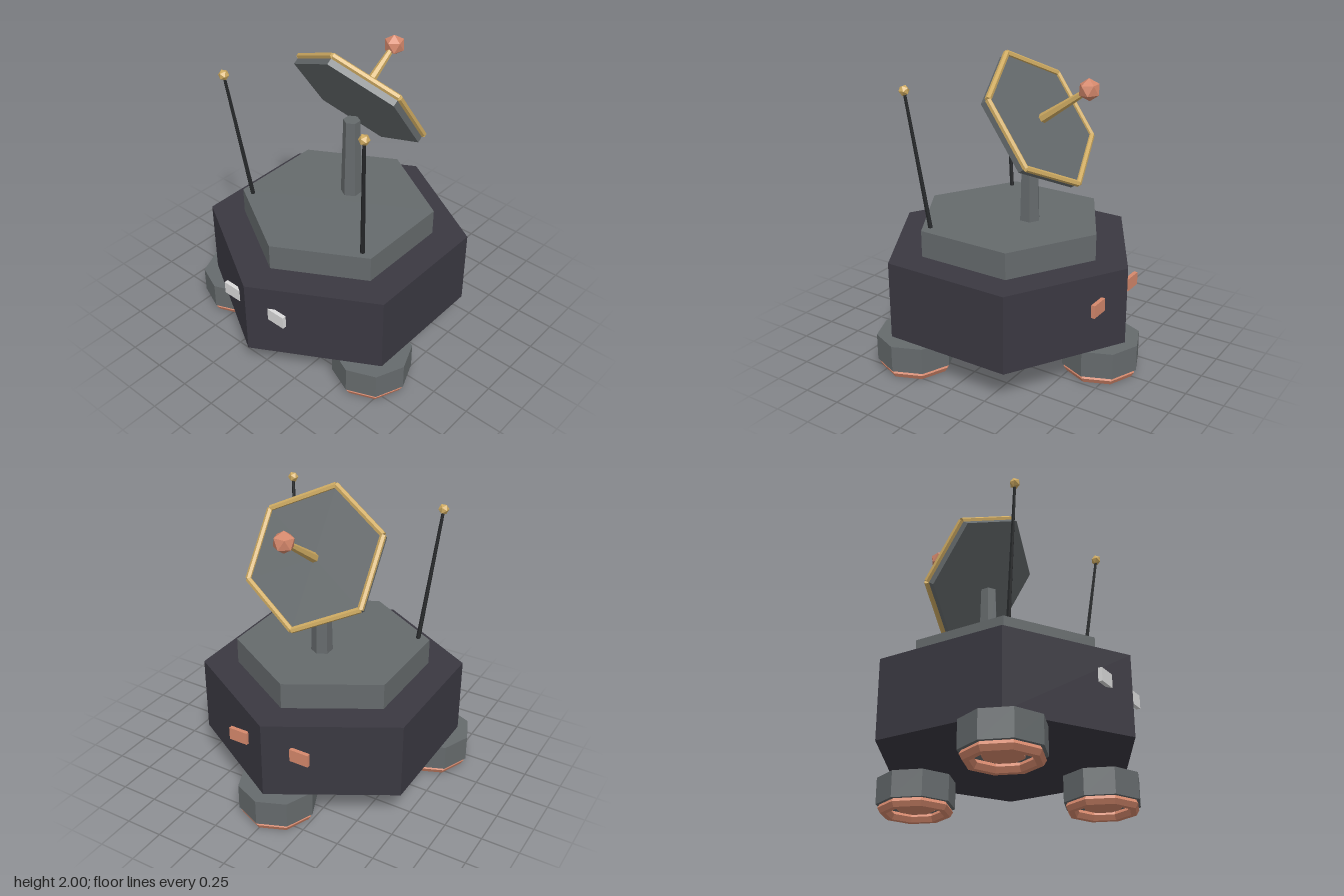
import * as THREE from 'three';

const mat = (name, color) => new THREE.MeshStandardMaterial({ name, color, flatShading: true });

export function createModel() {
  const hullDark = mat('dark hull', 0x3a3841);
  const grey = mat('grey metal', 0x656a6c);
  const copper = mat('copper', 0xd5886c);
  const gold = mat('gold', 0xcfab62);
  const black = mat('black rod', 0x26282a);
  const white = mat('white lamp', 0xdadada);

  const model = new THREE.Group();
  model.name = 'hexagonalRover';

  const add = (parent, name, geometry, material, x = 0, y = 0, z = 0) => {
    const mesh = new THREE.Mesh(geometry, material);
    mesh.name = name;
    mesh.position.set(x, y, z);
    parent.add(mesh);
    return mesh;
  };
  // Prism or tapered prism standing between two heights
  const prism = (parent, name, rTop, rBottom, y0, y1, sides, material, x = 0, z = 0) =>
    add(parent, name, new THREE.CylinderGeometry(rTop, rBottom, y1 - y0, sides), material, x, (y0 + y1) / 2, z);
  // Tapered rod between two points
  const rod = (parent, name, a, b, rA, rB, sides, material) => {
    const d = b.clone().sub(a);
    const mesh = add(parent, name, new THREE.CylinderGeometry(rB, rA, d.length(), sides), material);
    mesh.position.copy(a).addScaledVector(d, 0.5);
    mesh.quaternion.setFromUnitVectors(new THREE.Vector3(0, 1, 0), d.normalize());
    return mesh;
  };

  // Hull, upper deck and mast
  const cz = 0.043;
  prism(model, 'hull', 0.861, 0.861, 0.23, 0.745, 6, hullDark, 0, cz);
  prism(model, 'upperDeck', 0.633, 0.633, 0.745, 0.92, 6, grey, 0, cz);
  prism(model, 'mast', 0.055, 0.07, 0.92, 1.465, 6, grey, 0, -0.1);

  // Three octagonal feet with a copper ring and hub below
  for (const degrees of [30, 150, 270]) {
    const a = THREE.MathUtils.degToRad(degrees);
    const foot = new THREE.Group();
    foot.name = 'foot';
    foot.position.set(0.69 * Math.cos(a), 0, cz + 0.69 * Math.sin(a));
    prism(foot, 'footPod', 0.257, 0.257, 0.055, 0.23, 8, grey);
    const ring = new THREE.TorusGeometry(0.207, 0.038, 6, 8).rotateX(Math.PI / 2);
    add(foot, 'footRing', ring, copper, 0, 0.033, 0);
    prism(foot, 'footHub', 0.125, 0.125, 0.035, 0.06, 8, copper);
    model.add(foot);
  }

  // Lamps, and antennas leaning outwards and forwards
  for (const s of [-1, 1]) {
    const lamp = new THREE.BoxGeometry(0.13, 0.085, 0.026);
    add(model, 'headlamp', lamp, white, s * 0.19, 0.547, 0.823);
    add(model, 'tailLamp', lamp, copper, s * 0.223, 0.547, -0.735);

    const tip = new THREE.Vector3(s * 0.552, 1.812, 0.446);
    rod(model, 'antenna', new THREE.Vector3(s * 0.47, 0.915, 0.345), tip, 0.015, 0.01, 6, black);
    add(model, 'antennaTip', new THREE.IcosahedronGeometry(0.035, 0), gold, tip.x, tip.y, tip.z);
  }

  // Tilted dish facing up and backwards
  const dish = new THREE.Group();
  dish.name = 'dish';
  dish.position.set(0, 1.588, -0.163);
  dish.rotation.x = THREE.MathUtils.degToRad(-55);
  model.add(dish);
  prism(dish, 'dishPlate', 0.46, 0.46, -0.03, 0.03, 6, grey);
  const corner = (i) => new THREE.Vector3(
    0.46 * Math.sin(i * Math.PI / 3), 0.032, 0.46 * Math.cos(i * Math.PI / 3));
  for (let i = 0; i < 6; i++) rod(dish, 'dishRim', corner(i), corner(i + 1), 0.02, 0.02, 6, gold);
  prism(dish, 'feedHorn', 0.018, 0.032, 0.03, 0.42, 6, gold);
  add(dish, 'feedBall', new THREE.IcosahedronGeometry(0.07, 0), copper, 0, 0.425, 0);

  return model;
}
